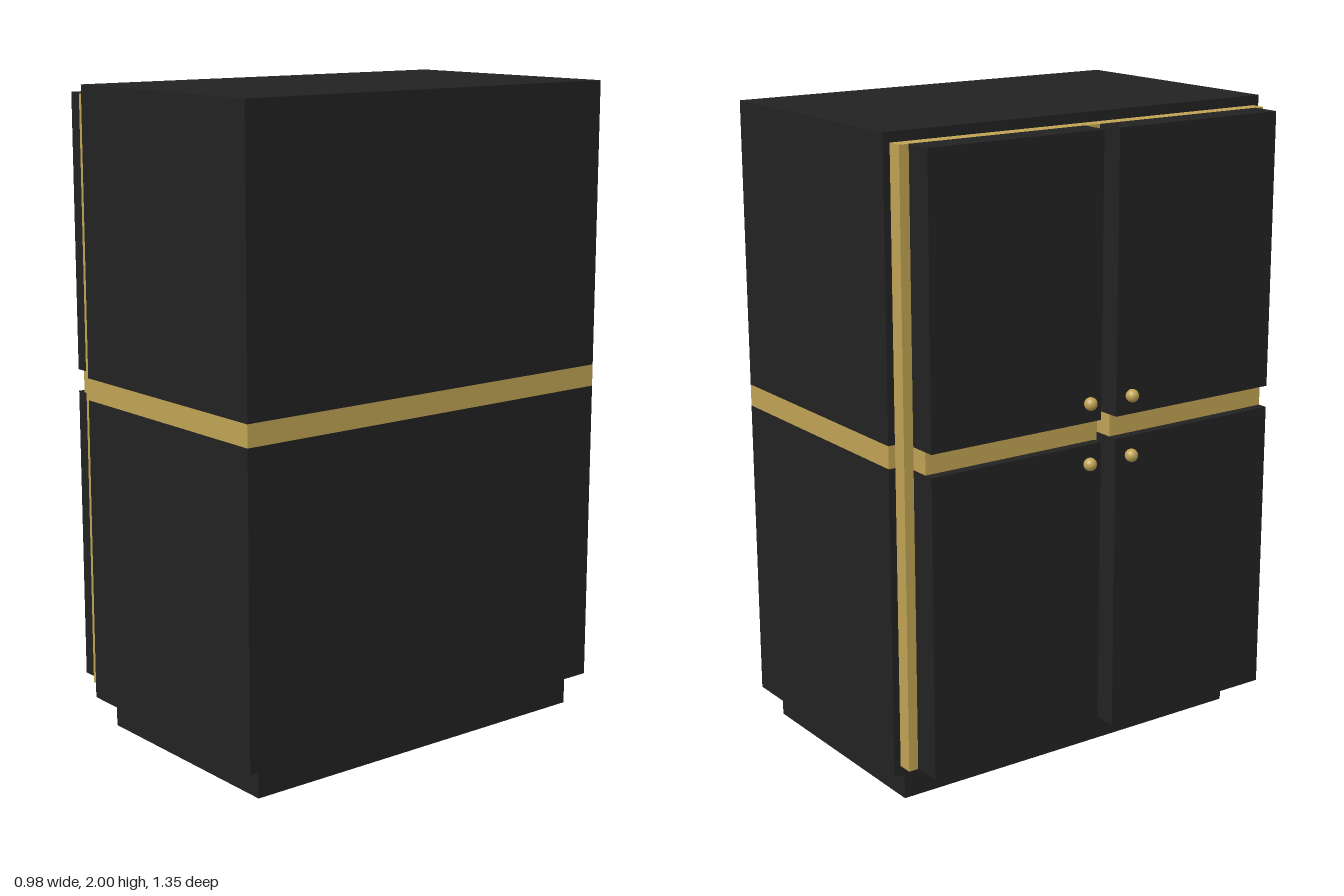
import * as THREE from 'three';

export function createModel() {
  const model = new THREE.Group();
  model.name = 'cabinet';

  const black = new THREE.MeshStandardMaterial({ color: 0x222222 });
  black.name = 'black lacquer';
  const gold = new THREE.MeshStandardMaterial({ color: 0xc0a354 });
  gold.name = 'brushed gold';

  // Box given by its extents on each axis
  function box(name, material, [x0, x1], [y0, y1], [z0, z1]) {
    const mesh = new THREE.Mesh(new THREE.BoxGeometry(x1 - x0, y1 - y0, z1 - z0), material);
    mesh.position.set((x0 + x1) / 2, (y0 + y1) / 2, (z0 + z1) / 2);
    mesh.name = name;
    model.add(mesh);
  }

  // Carcass: plinth, lower case, flush gold band, upper case
  const bodyX = [-0.317, 0.49], bodyZ = [-0.675, 0.675];
  const lowTop = 1.05, highBase = 1.118;
  box('plinth', black, [-0.285, 0.455], [0, 0.097], [-0.62, 0.62]);
  box('lowerCase', black, bodyX, [0.097, lowTop], bodyZ);
  box('goldBand', gold, bodyX, [lowTop, highBase], bodyZ);
  box('upperCase', black, bodyX, [highBase, 2], bodyZ);

  // Gold panel behind the doors
  box('doorBackPanel', gold, [-0.364, -0.317], [0.128, 1.97], [-0.653, 0.653]);

  // Two pairs of doors with a recessed gold strip between the rows
  const knobGeometry = new THREE.SphereGeometry(0.02, 24, 16);
  for (const side of [-1, 1]) {
    const z = [0.028 * side, 0.622 * side].sort((a, b) => a - b);
    const doorX = [-0.456, -0.364];
    box('lowerDoor', black, doorX, [0.128, lowTop], z);
    box('upperDoor', black, doorX, [highBase, 1.97], z);
    box('doorStrip', gold, [-0.425, -0.364], [lowTop, highBase], z);

    // Round knobs near the meeting corners
    for (const y of [0.994, 1.178]) {
      const knob = new THREE.Mesh(knobGeometry, gold);
      knob.position.set(-0.47, y, 0.077 * side);
      knob.name = 'knob';
      model.add(knob);
    }
  }
  return model;
}
